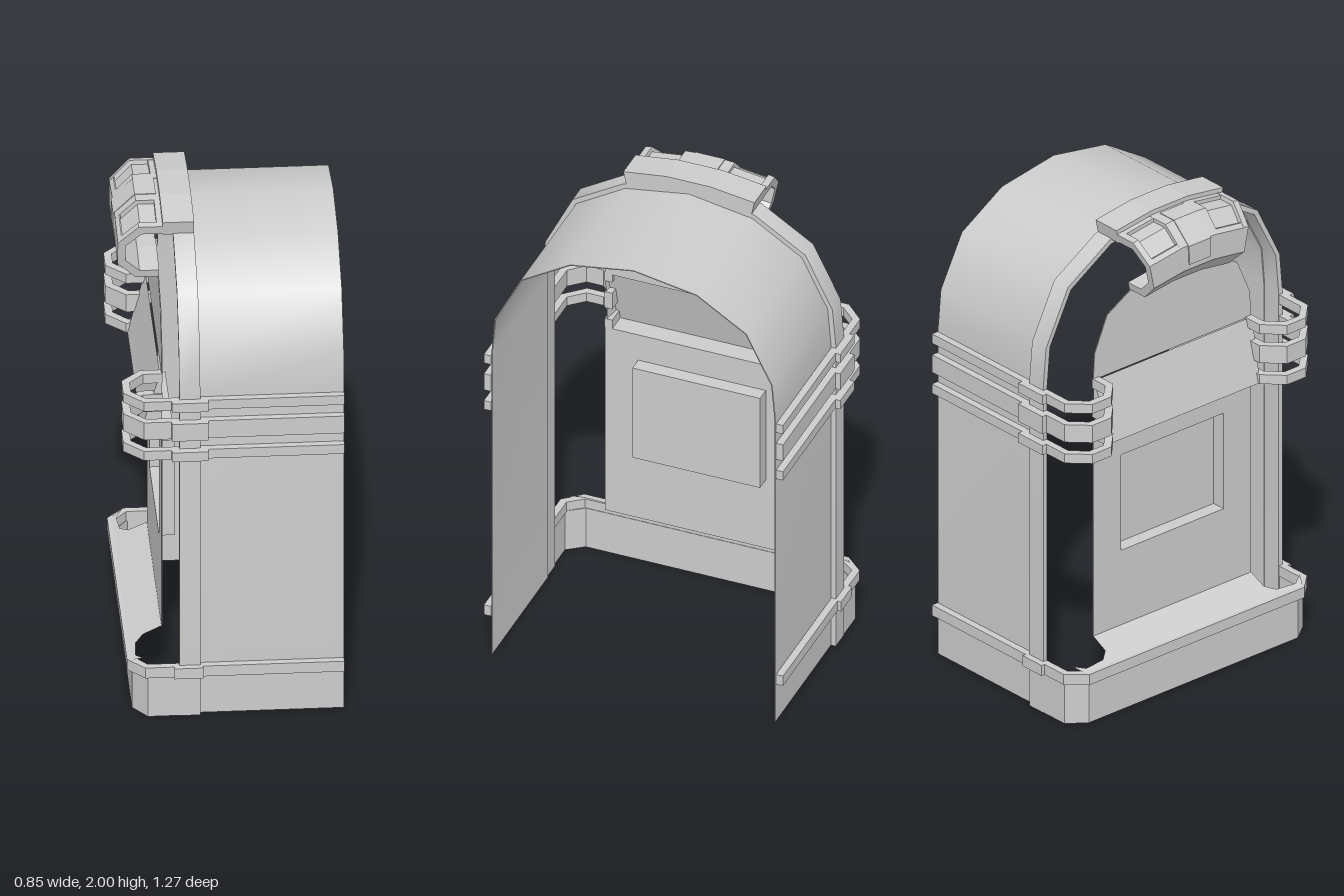
import * as THREE from 'three';
import { toCreasedNormals } from 'three/addons/utils/BufferGeometryUtils.js';

const grey = new THREE.MeshStandardMaterial({ color: 0xcccccc, side: THREE.DoubleSide });
grey.name = 'lightGrey';

const toShape = (pts) => new THREE.Shape(pts.map((p) => new THREE.Vector2(p[0], p[1])));
const extrude = (shape, depth, steps = 1) =>
  new THREE.ExtrudeGeometry(shape, { depth, steps, bevelEnabled: false });

// Plan outline of [x, z] points raised from y0 to y1
function plan(pts, y0, y1) {
  const g = extrude(toShape(pts.map(([x, z]) => [x, -z])), y1 - y0);
  return g.rotateX(-Math.PI / 2).translate(0, y0, 0);
}

// Outline in the z-y plane pushed from x0 to x1
const across = (shape, x0, x1) => extrude(shape, x1 - x0).rotateY(Math.PI / 2).translate(x0, 0, 0);

// Full outline from its positive half, running bottom to apex
const mirrorZ = (half) => {
  const other = half.filter((p) => p[0] !== 0).map(([a, b]) => [-a, b]).reverse();
  return [...half, ...other];
};

// Profile of [x, radius] points swept round the crest axis, angles in degrees
function sweep(profile, a0, a1, steps = 1) {
  const rad = Math.PI / 180;
  const g = extrude(toShape(profile), (a1 - a0) * rad, steps);
  const p = g.attributes.position;
  for (let i = 0; i < p.count; i++) {
    const r = p.getY(i), a = p.getZ(i) + a0 * rad;
    p.setXYZ(i, p.getX(i), 0.7 + r * Math.cos(a), r * Math.sin(a));
  }
  g.computeVertexNormals();
  return g;
}

export function createModel() {
  const model = new THREE.Group();
  model.name = 'cabinet';
  const add = (name, geometry, parent = model) => {
    const mesh = new THREE.Mesh(geometry, grey);
    mesh.name = name;
    parent.add(mesh);
    return mesh;
  };

  // Arched shell, open at the back, and the raised frame at its front
  const outer = [[0.606, 0], [0.606, 1.4], [0.592, 1.56], [0.48, 1.785], [0.27, 1.915], [0, 1.96]];
  const middle = [[0.586, 0], [0.586, 1.4], [0.572, 1.56], [0.465, 1.77], [0.262, 1.896], [0, 1.94]];
  const inner = [[0.582, 0], [0.582, 1.4], [0.568, 1.558], [0.462, 1.767], [0.261, 1.892], [0, 1.936]];
  const ring = (a, b) => toShape([...mirrorZ(a), ...mirrorZ(b).reverse()]);
  add('shell', toCreasedNormals(across(ring(middle, inner), -0.13, 0.42), 0.7));
  add('frontFrame', toCreasedNormals(across(ring(outer, middle), -0.21, -0.13), 0.7));

  // Three bands on each side, curling round at the front
  const hook = [
    [0.42, 0.617], [-0.10, 0.617], [-0.10, 0.637], [-0.24, 0.637], [-0.24, 0.617], [-0.345, 0.617],
    [-0.42, 0.54], [-0.42, 0.445], [-0.345, 0.37], [-0.26, 0.37], [-0.26, 0.402], [-0.335, 0.402],
    [-0.39, 0.46], [-0.39, 0.53], [-0.335, 0.588], [0.42, 0.588],
  ];
  for (const side of [1, -1]) {
    const bands = new THREE.Group();
    bands.name = side > 0 ? 'leftBands' : 'rightBands';
    model.add(bands);
    for (const [y0, y1] of [[1.13, 1.17], [1.22, 1.295], [1.345, 1.385]]) {
      add('band', plan(hook.map(([x, z]) => [x, z * side]), y0, y1), bands);
    }
  }

  // Base wall and trim around the front
  const uShape = (out, inn) => {
    const flip = (pts) => pts.map(([x, z]) => [x, -z]).reverse();
    return [...out, ...flip(out), ...inn, ...flip(inn)].length &&
      [...out, ...flip(out), ...[...inn, ...flip(inn)].reverse()];
  };
  add('baseWall', plan(uShape(
    [[-0.2, 0.604], [-0.33, 0.604], [-0.386, 0.53]],
    [[-0.2, 0.592], [-0.325, 0.592], [-0.374, 0.526]]), 0, 0.18));
  add('baseTrim', plan(uShape(
    [[0.42, 0.617], [-0.12, 0.617], [-0.12, 0.632], [-0.23, 0.632], [-0.23, 0.617], [-0.34, 0.617], [-0.406, 0.545]],
    [[0.42, 0.588], [-0.33, 0.588], [-0.376, 0.53]]), 0.175, 0.22));

  // Sill rising from the trim to the panel, with curved cut-outs at the ends
  const sillHalf = [[-0.262, 0.4], [-0.335, 0.402], [-0.365, 0.44], [-0.372, 0.53], [-0.345, 0.575], [-0.39, 0.55]];
  const sill = new THREE.ShapeGeometry(toShape([
    ...sillHalf, ...sillHalf.map(([x, z]) => [x, -z]).reverse()]));
  sill.rotateX(-Math.PI / 2);
  const sp = sill.attributes.position;
  for (let i = 0; i < sp.count; i++) sp.setY(i, 0.22 + (sp.getX(i) + 0.39) * 0.47);
  sill.computeVertexNormals();
  add('sill', sill);

  // Front panel with a recessed window
  const lower = toShape([[-0.4, 0.28], [0.4, 0.28], [0.4, 1.13], [-0.4, 1.13]]);
  lower.holes.push(new THREE.Path([[-0.26, 0.6], [-0.26, 1.01], [0.26, 1.01], [0.26, 0.6]]
    .map((p) => new THREE.Vector2(...p))));
  add('lowerPanel', across(lower, -0.264, -0.26));
  const rim = toShape([[-0.263, 0.597], [0.263, 0.597], [0.263, 1.013], [-0.263, 1.013]]);
  rim.holes.push(lower.holes[0]);
  add('windowReveal', across(rim, -0.262, -0.205));
  add('windowBack', new THREE.BoxGeometry(0.004, 0.416, 0.526).translate(-0.205, 0.805, 0));
  add('upperPanel', across(toShape(mirrorZ(
    [[0.4, 1.38], [0.393, 1.49], [0.33, 1.635], [0.18, 1.72], [0, 1.765]])), -0.264, -0.26));

  // Sloping shelf between the two panels, open behind
  const b = [-0.34, 1.13], t = [-0.27, 1.38];
  const quads = [
    [[t[0], t[1], -0.4], [b[0], b[1], -0.378], [b[0], b[1], 0.378], [t[0], t[1], 0.4]],
    [[b[0], b[1], -0.378], [-0.262, 1.13, -0.39], [-0.262, 1.13, 0.39], [b[0], b[1], 0.378]],
    [[t[0], t[1], 0.4], [b[0], b[1], 0.378], [-0.262, 1.13, 0.39], [-0.262, 1.38, 0.4]],
    [[-0.262, 1.38, -0.4], [-0.262, 1.13, -0.39], [b[0], b[1], -0.378], [t[0], t[1], -0.4]],
  ];
  const shelf = new THREE.BufferGeometry();
  shelf.setAttribute('position', new THREE.Float32BufferAttribute(
    quads.flatMap((q) => [0, 1, 2, 0, 2, 3].flatMap((i) => q[i])), 3));
  shelf.computeVertexNormals();
  add('slopingShelf', shelf);

  // Crest: cap plate, curled hood, ribs around three windows, central key
  const crest = new THREE.Group();
  crest.name = 'crest';
  model.add(crest);
  add('capPlate', sweep([[-0.25, 1.24], [-0.13, 1.24], [-0.13, 1.3], [-0.25, 1.3]], -12, 12, 3), crest);
  add('hood', sweep([
    [-0.2, 1.265], [-0.335, 1.265], [-0.405, 1.195], [-0.42, 1.195], [-0.42, 1.1], [-0.35, 1.028], [-0.26, 1.028],
    [-0.26, 1.06], [-0.335, 1.06], [-0.39, 1.115], [-0.39, 1.188], [-0.33, 1.245], [-0.2, 1.245]], -12, 12, 3), crest);
  const skin = [[-0.25, 1.262], [-0.25, 1.281], [-0.342, 1.281], [-0.42, 1.203], [-0.42, 1.192], [-0.403, 1.192], [-0.334, 1.262]];
  for (const [a0, a1] of [[-12, -10.8], [-4.6, -2.75], [2.75, 4.6], [10.8, 12]]) {
    add('rib', sweep(skin, a0, a1), crest);
  }
  add('backRail', sweep([[-0.272, 1.262], [-0.25, 1.262], [-0.25, 1.281], [-0.272, 1.281]], -12, 12, 3), crest);
  add('frontRail', sweep([[-0.42, 1.19], [-0.4, 1.19], [-0.4, 1.218], [-0.405, 1.218], [-0.42, 1.203]], -12, 12, 3), crest);
  add('key', sweep([
    [-0.262, 1.262], [-0.262, 1.283], [-0.343, 1.283], [-0.425, 1.2], [-0.425, 1.12],
    [-0.415, 1.12], [-0.415, 1.19], [-0.335, 1.262]], -2.7, 2.7), crest);

  return model;
}
